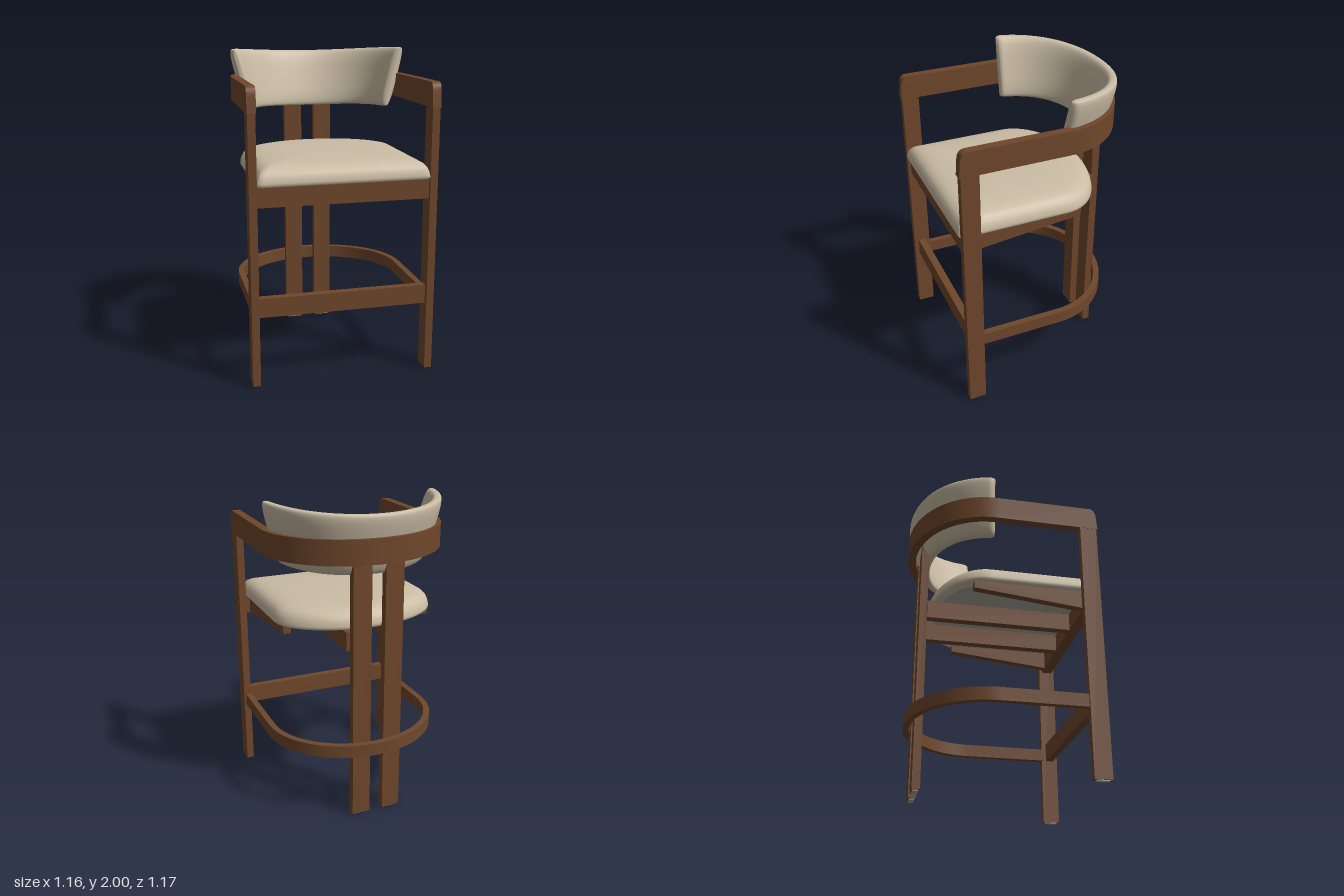
import * as THREE from 'three';
import { toCreasedNormals } from 'three/addons/utils/BufferGeometryUtils.js';

const wood = new THREE.MeshStandardMaterial({ color: 0x6f472b });
wood.name = 'walnut wood';
const fabric = new THREE.MeshStandardMaterial({ color: 0xcbbda5 });
fabric.name = 'beige upholstery';
const lining = new THREE.MeshStandardMaterial({ color: 0xaca89e });
lining.name = 'grey lining';

function add(group, name, geometry, material) {
  const mesh = new THREE.Mesh(geometry, material);
  mesh.name = name;
  group.add(mesh);
  return mesh;
}

// Box given by its limits on each axis
function box(x0, x1, y0, y1, z0, z1) {
  return new THREE.BoxGeometry(x1 - x0, y1 - y0, z1 - z0)
    .translate((x0 + x1) / 2, (y0 + y1) / 2, (z0 + z1) / 2);
}

// Side profile in (z, y), extruded along x from x0 to x1
function sidePlate(shape, x0, x1) {
  return toCreasedNormals(
    new THREE.ExtrudeGeometry(shape, { depth: x1 - x0, bevelEnabled: false, curveSegments: 8 })
      .rotateY(-Math.PI / 2).translate(x1, 0, 0), 0.6);
}

// Half-oval band bending round the back, starting at z0
function halfRing(rx, rz, thick, y0, y1, z0) {
  const s = new THREE.Shape();
  s.absellipse(0, 0, rx, rz, 0, Math.PI, false, 0);
  s.lineTo(thick - rx, 0);
  s.absellipse(0, 0, rx - thick, rz - thick, Math.PI, 0, true, 0);
  return toCreasedNormals(
    new THREE.ExtrudeGeometry(s, { depth: y1 - y0, bevelEnabled: false, curveSegments: 48 })
      .rotateX(-Math.PI / 2).translate(0, y0, z0), 0.6);
}

// Smooth skin over closed rings of points, capped at both ends
function loft(rings) {
  const n = rings[0].length, pos = [], idx = [];
  rings.forEach(r => r.forEach(p => pos.push(p.x, p.y, p.z)));
  for (let k = 0; k < rings.length - 1; k++) {
    for (let i = 0; i < n; i++) {
      const a = k * n + i, b = k * n + (i + 1) % n;
      idx.push(a, b, b + n, a, b + n, a + n);
    }
  }
  [0, rings.length - 1].forEach((k, end) => {
    const c = rings[k].reduce((s, p) => s.add(p), new THREE.Vector3()).divideScalar(n);
    const ci = pos.length / 3;
    pos.push(c.x, c.y, c.z);
    for (let i = 0; i < n; i++) {
      const a = k * n + i, b = k * n + (i + 1) % n;
      if (end) idx.push(ci, a, b); else idx.push(ci, b, a);
    }
  });
  const g = new THREE.BufferGeometry();
  g.setAttribute('position', new THREE.Float32BufferAttribute(pos, 3));
  g.setIndex(idx);
  g.computeVertexNormals();
  return g;
}

// Seat outline in (x, -z): square front, rounded back
function seatOutline() {
  const w = 0.53, f = -0.585, r = 0.015, b = 0.11, s = new THREE.Shape();
  s.moveTo(w, b);
  s.absellipse(0, b, w, 0.445 - b, 0, Math.PI, false, 0);
  s.lineTo(-w, f + r);
  s.quadraticCurveTo(-w, f, -w + r, f);
  s.lineTo(w - r, f);
  s.quadraticCurveTo(w, f, w, f + r);
  s.lineTo(w, b);
  return s;
}

function seatCushion() {
  const pts = seatOutline().getSpacedPoints(160).slice(0, -1);
  const layers = [[0.95, 1.248], [0.985, 1.25], [1, 1.258], [1, 1.272], [0.99, 1.297], [0.97, 1.322],
    [0.935, 1.343], [0.88, 1.358], [0.8, 1.368], [0.65, 1.376], [0.4, 1.382], [0.2, 1.384]];
  return loft(layers.map(([s, y]) =>
    pts.map(p => new THREE.Vector3(p.x * s, y, 0.07 + (-p.y - 0.07) * s))));
}

// Curved back pad that flares outwards towards its top
function backPad() {
  const rings = [], half = THREE.MathUtils.degToRad(81), steps = 64, n = 40;
  const soft = v => Math.sign(v) * Math.pow(Math.abs(v), 0.58);
  for (let k = 0; k <= steps; k++) {
    const off = -half * Math.cos(k * Math.PI / steps);
    const a = Math.PI / 2 + off;
    const d = Math.min(1, (half - Math.abs(off)) / 0.07);
    const round = Math.max(0.3, Math.sqrt(1 - (1 - d) ** 2));
    const c2 = Math.cos(a) ** 2;
    const bulge = 0.018 * Math.sin(2 * a) ** 2;
    const y0 = 1.594 + 0.022 * c2, y1 = 1.968 + 0.036 * c2;
    const ring = [];
    for (let i = 0; i < n; i++) {
      const t = -i / n * Math.PI * 2;
      const v = 0.5 + 0.5 * soft(Math.sin(t)) * (0.95 + 0.05 * round);
      const r = 0.458 + 0.104 * v + 0.04 * soft(Math.cos(t)) * round + bulge;
      ring.push(new THREE.Vector3(r * Math.cos(a), y0 + (y1 - y0) * v, -r * Math.sin(a)));
    }
    rings.push(ring);
  }
  return loft(rings);
}

export function createModel() {
  const model = new THREE.Group();
  model.name = 'barStool';

  // Arm profile with a rounded upper front corner
  const arm = new THREE.Shape();
  arm.moveTo(-0.08, 1.68);
  arm.lineTo(0.588, 1.68);
  arm.lineTo(0.58, 1.78);
  arm.quadraticCurveTo(0.575, 1.832, 0.535, 1.832);
  arm.lineTo(-0.08, 1.832);

  // Tapered outer rail under the seat
  const rail = new THREE.Shape();
  rail.moveTo(0.5, 1.127);
  rail.lineTo(0.5, 1.25);
  rail.lineTo(-0.21, 1.25);
  rail.lineTo(-0.21, 1.2);

  // Mirrored parts
  for (const [side, m] of [['left', 1], ['right', -1]]) {
    const pair = (name, x0, x1, make, material = wood) => {
      const lo = m > 0 ? x0 : -x1, hi = m > 0 ? x1 : -x0;
      add(model, side + name, make(lo, hi), material);
    };
    pair('FrontLeg', 0.53, 0.578, (a, b) => box(a, b, 0.006, 1.69, 0.47, 0.58));
    pair('FrontFoot', 0.537, 0.571, (a, b) => box(a, b, 0, 0.006, 0.485, 0.565), lining);
    pair('BackLeg', 0.045, 0.165, (a, b) => box(a, b, 0.006, 1.72, -0.51, -0.46));
    pair('BackFoot', 0.06, 0.15, (a, b) => box(a, b, 0, 0.006, -0.503, -0.467), lining);
    pair('Arm', 0.526, 0.58, (a, b) => sidePlate(arm, a, b));
    pair('FootrestSide', 0.525, 0.565, (a, b) => box(a, b, 0.44, 0.522, -0.06, 0.48));
    pair('OuterSeatRail', 0.45, 0.5, (a, b) => sidePlate(rail, a, b));
    pair('InnerSeatRail', 0.135, 0.19, (a, b) => box(a, b, 1.127, 1.247, -0.462, 0.5));
  }

  // Bent back rail and footrest hoop
  add(model, 'backRail', halfRing(0.58, 0.507, 0.054, 1.68, 1.832, -0.08), wood);
  add(model, 'footrestHoop', halfRing(0.565, 0.507, 0.04, 0.44, 0.522, -0.06), wood);

  // Front cross bars
  add(model, 'frontFootrest', box(-0.531, 0.531, 0.44, 0.56, 0.5, 0.55), wood);
  add(model, 'seatApron', box(-0.531, 0.531, 1.125, 1.244, 0.49, 0.56), wood);

  // Upholstery
  add(model, 'seatCushion', seatCushion(), fabric);
  add(model, 'backPad', backPad(), fabric);
  const under = new THREE.ExtrudeGeometry(seatOutline(), { depth: 0.006, bevelEnabled: false, curveSegments: 32 })
    .rotateX(-Math.PI / 2).translate(0, 1.244, -0.07).scale(0.9, 1, 0.9).translate(0, 0, 0.07);
  add(model, 'seatLining', under, lining);

  return model;
}
